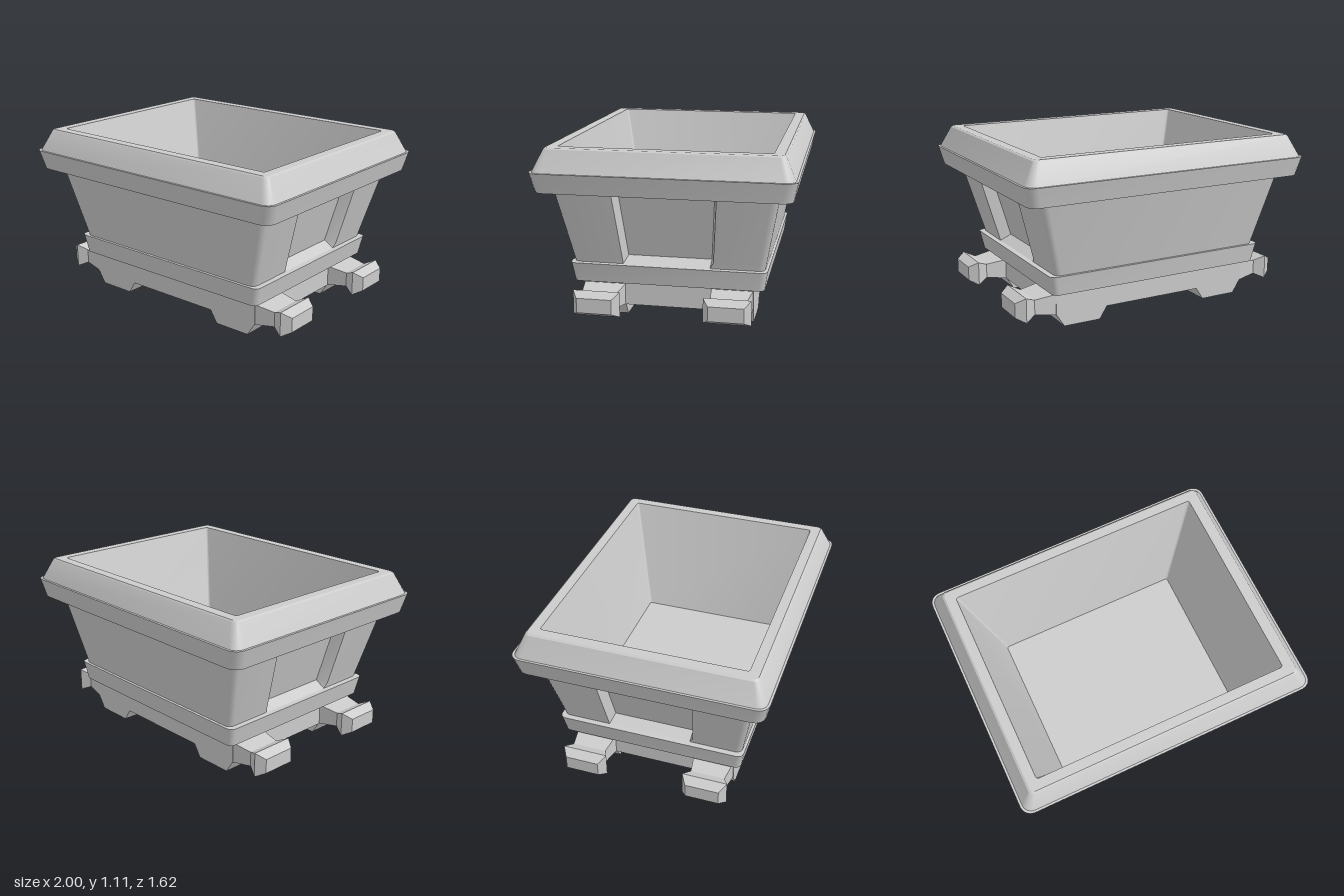
import * as THREE from 'three';
import { toCreasedNormals } from 'three/addons/utils/BufferGeometryUtils.js';

const material = new THREE.MeshStandardMaterial({ color: 0xcccccc });

// Rounded rectangle, counter-clockwise from above. A notch cuts both x ends:
// depth d, half width a at the mouth and b at the back.
function ring({ y, x, z, r = 0, notch }, seg) {
  const pts = [];
  const corner = (sx, sz, start) => {
    for (let i = 0; i <= seg; i++) {
      const t = start + (seg ? (i / seg) * Math.PI / 2 : 0);
      pts.push([sx * (x - r) + r * Math.cos(t), y, sz * (z - r) - r * Math.sin(t)]);
    }
  };
  const cut = (s) => {
    if (!notch) return;
    const { d, a, b } = notch;
    for (const [px, pz] of [[x, a], [x - d, b], [x - d, -b], [x, -a]]) pts.push([s * px, y, s * pz]);
  };
  cut(1);
  corner(1, -1, 0);
  corner(-1, -1, Math.PI / 2);
  cut(-1);
  corner(-1, 1, Math.PI);
  corner(1, 1, Math.PI * 1.5);
  return pts;
}

// Skin a stack of rings, optionally closing the first and last one
function loft(sections, { seg = 4, capStart = false, capEnd = false } = {}) {
  const rings = sections.map((s) => ring(s, seg));
  const n = rings[0].length;
  const pos = [];
  const tri = (...p) => p.forEach((v) => pos.push(...v));
  for (let k = 0; k + 1 < rings.length; k++) {
    const lo = rings[k], hi = rings[k + 1];
    for (let i = 0; i < n; i++) {
      const j = (i + 1) % n;
      tri(lo[i], lo[j], hi[j]);
      tri(lo[i], hi[j], hi[i]);
    }
  }
  const cap = (pts, up) => {
    const c = [0, pts[0][1], 0];
    pts.forEach((p, i) => {
      const q = pts[(i + 1) % n];
      if (up) tri(c, p, q);
      else tri(c, q, p);
    });
  };
  if (capStart) cap(rings[0], false);
  if (capEnd) cap(rings[rings.length - 1], true);
  const g = new THREE.BufferGeometry();
  g.setAttribute('position', new THREE.Float32BufferAttribute(pos, 3));
  return toCreasedNormals(g, 0.5);
}

function add(parent, name, geometry) {
  const mesh = new THREE.Mesh(geometry, material);
  mesh.name = name;
  parent.add(mesh);
  return mesh;
}

export function createModel() {
  const model = new THREE.Group();
  model.name = 'cart';

  // Flared tub walls with a recessed panel in each end
  add(model, 'tubWalls', loft([
    { y: 0.35, x: 0.735, z: 0.603, r: 0.04, notch: { d: 0, a: 0.285, b: 0.265 } },
    { y: 0.36, x: 0.737, z: 0.605, r: 0.04, notch: { d: 0, a: 0.285, b: 0.265 } },
    { y: 0.4, x: 0.748, z: 0.612, r: 0.04, notch: { d: 0.08, a: 0.288, b: 0.267 } },
    { y: 0.97, x: 0.903, z: 0.718, r: 0.05, notch: { d: 0.08, a: 0.333, b: 0.31 } },
  ]));

  // Overhanging rim with a hollow lip, running over into the inside and floor
  add(model, 'rimAndInterior', loft([
    { y: 0.955, x: 0.8, z: 0.61, r: 0.02 },
    { y: 0.955, x: 0.965, z: 0.775, r: 0.05 },
    { y: 0.845, x: 0.945, z: 0.755, r: 0.05 },
    { y: 0.845, x: 0.97, z: 0.782, r: 0.07 },
    { y: 0.97, x: 1.0, z: 0.808, r: 0.07 },
    { y: 0.97, x: 0.985, z: 0.793, r: 0.06 },
    { y: 1.105, x: 0.917, z: 0.73, r: 0.035 },
    { y: 1.113, x: 0.905, z: 0.72, r: 0.03 },
    { y: 1.113, x: 0.842, z: 0.655, r: 0.015 },
    { y: 0.38, x: 0.64, z: 0.497, r: 0.015 },
  ], { capEnd: true }));

  // Band around the foot of the tub, stepped in below
  add(model, 'baseBand', loft([
    { y: 0.215, x: 0.7, z: 0.55, r: 0.03 },
    { y: 0.235, x: 0.715, z: 0.57, r: 0.03 },
    { y: 0.235, x: 0.75, z: 0.605, r: 0.04 },
    { y: 0.36, x: 0.775, z: 0.623, r: 0.04 },
    { y: 0.36, x: 0.72, z: 0.59, r: 0.03 },
  ], { capStart: true }));

  // Chassis
  const chassis = new THREE.Group();
  chassis.name = 'chassis';
  chassis.position.set(0.005, 0, 0.008);
  model.add(chassis);
  add(chassis, 'chassisBed', new THREE.BoxGeometry(1.4, 0.14, 1.085)).position.y = 0.15;

  const footShape = new THREE.Shape([[-0.125, 0], [0.125, 0], [0.18, 0.085], [-0.18, 0.085]]
    .map(([x, y]) => new THREE.Vector2(x, y)));
  const foot = new THREE.ExtrudeGeometry(footShape, { depth: 0.27, bevelEnabled: false });
  foot.translate(0, 0, -0.135);

  // Tapered arm ending in a faceted buffer, lofted outwards along x
  const arm = loft([
    { y: 0.68, x: 0.07, z: 0.135 },
    { y: 0.835, x: 0.048, z: 0.112 },
    { y: 0.905, x: 0.08, z: 0.148 },
    { y: 0.965, x: 0.047, z: 0.11 },
  ], { seg: 0, capEnd: true }).rotateZ(-Math.PI / 2);

  for (const sx of [1, -1]) {
    for (const sz of [1, -1]) {
      add(chassis, 'foot', foot).position.set(sx * 0.52, 0, sz * 0.407);
      const buffer = add(chassis, 'bufferArm', arm);
      buffer.position.set(0, 0.15, sz * 0.407);
      buffer.rotation.y = sx > 0 ? 0 : Math.PI;
    }
  }
  return model;
}
